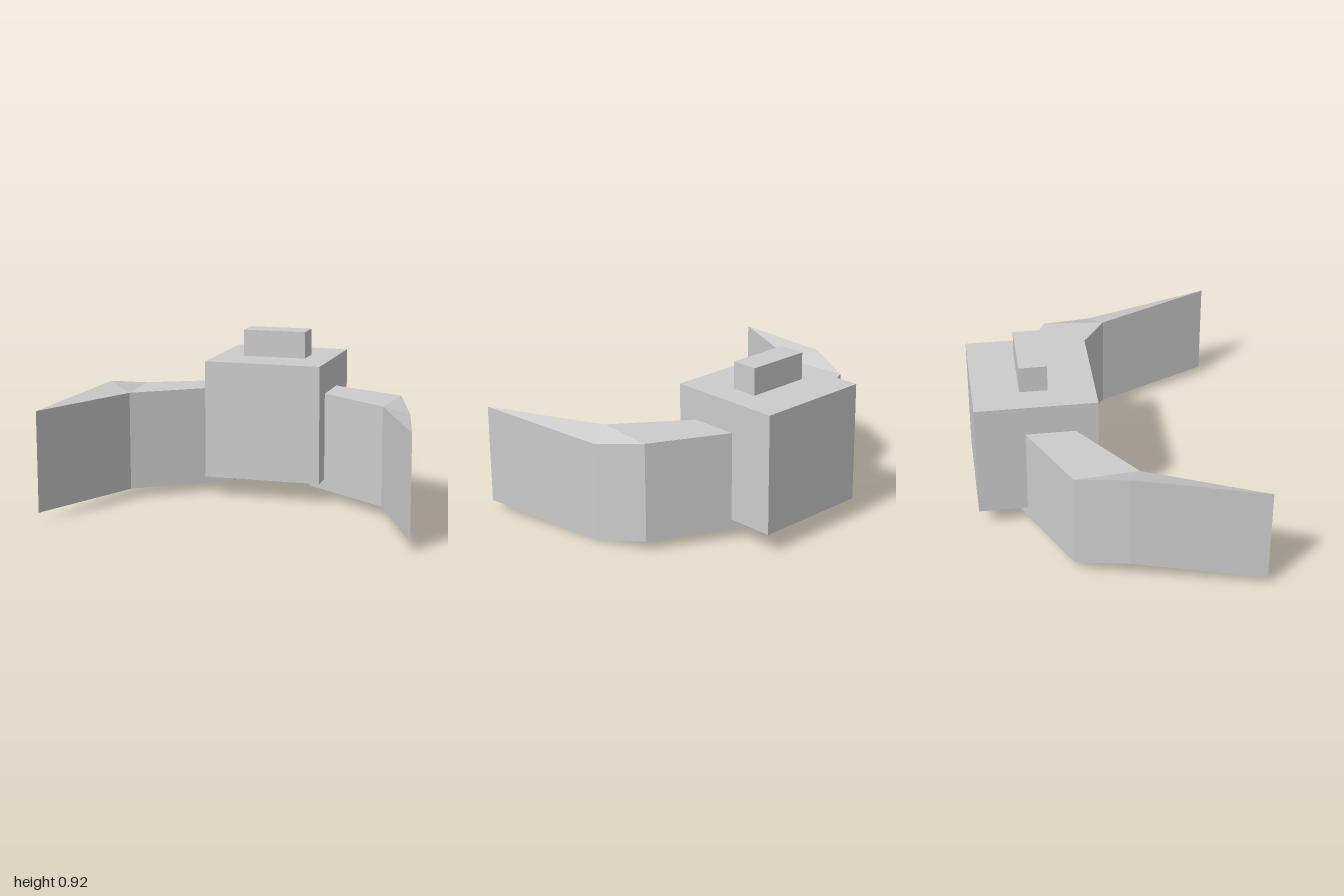
import * as THREE from 'three';

const material = new THREE.MeshStandardMaterial({ color: 0xcccccc, flatShading: true });

function addBox(group, name, size, position) {
  const mesh = new THREE.Mesh(new THREE.BoxGeometry(...size), material);
  mesh.name = name;
  mesh.position.set(...position);
  group.add(mesh);
}

// Plan of one arm as [x, z, vertical shift]: inner elbow first, then around to the tip
const ELBOW = [0.72, 0.09, 0];
const OUTLINE = [
  [0.225, -0.27, 0], [0.225, -0.513, 0], [0.75, -0.255, 0],
  [0.855, 0.02, 0.05], [1, 0.727, 0],
];

// Vertical walls around the plan, with caps fanned from the inner elbow.
// The outer bend is raised on the right arm and lowered on the left one.
function armGeometry(side) {
  const loop = [ELBOW, ...(side > 0 ? [...OUTLINE].reverse() : OUTLINE)];
  const at = (i, y) => {
    const [x, z, shift] = loop[i % loop.length];
    return [side * x, y - side * shift, z];
  };
  const bottom = 0.05, top = 0.6;
  const pos = [];
  const tri = (a, b, c) => pos.push(...a, ...b, ...c);
  for (let i = 0; i < loop.length; i++) {
    const a = at(i, bottom), b = at(i + 1, bottom), c = at(i + 1, top), d = at(i, top);
    tri(a, b, c);
    tri(a, c, d);
  }
  for (let i = 1; i < loop.length - 1; i++) {
    tri(at(0, top), at(i, top), at(i + 1, top));
    tri(at(0, bottom), at(i + 1, bottom), at(i, bottom));
  }
  const geometry = new THREE.BufferGeometry();
  geometry.setAttribute('position', new THREE.Float32BufferAttribute(pos, 3));
  geometry.computeVertexNormals();
  return geometry;
}

export function createModel() {
  const group = new THREE.Group();
  group.name = 'model';

  // Central block and the small block on top
  addBox(group, 'body', [0.66, 0.66, 0.655], [0, 0.44, -0.4]);
  addBox(group, 'topBlock', [0.36, 0.15, 0.15], [0, 0.845, -0.4]);

  // Curved, pointed arms reaching forward
  for (const side of [1, -1]) {
    const arm = new THREE.Mesh(armGeometry(side), material);
    arm.name = side > 0 ? 'leftArm' : 'rightArm';
    group.add(arm);
  }
  return group;
}
